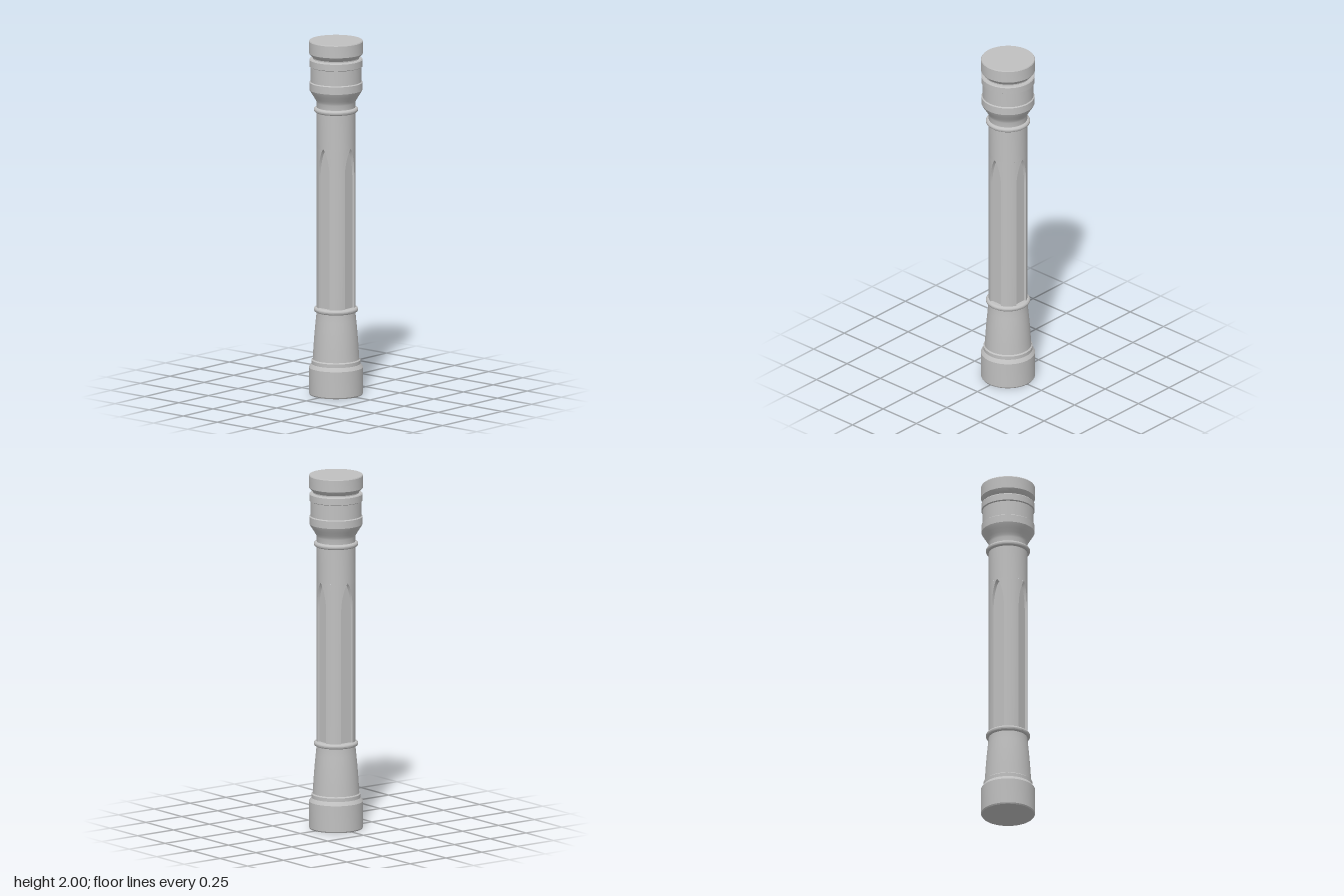
import * as THREE from 'three';
import { toCreasedNormals } from 'three/addons/utils/BufferGeometryUtils.js';

const SEGMENTS = 48;
const R = 0.107;          // shaft radius
const FLOOR_Z = 0.088;    // distance of the panel floor from the axis
const HALF_W = 0.04;      // panel half width
const Y_BOTTOM = 0.48, Y_SPRING = 1.24, Y_TIP = 1.4;
const ROWS = 17;

// Revolved part with sharp edges kept
function turned(name, points, material) {
  const profile = points.map(([r, y]) => new THREE.Vector2(r, y));
  const geometry = toCreasedNormals(new THREE.LatheGeometry(profile, SEGMENTS), 0.45);
  const mesh = new THREE.Mesh(geometry, material);
  mesh.name = name;
  return mesh;
}

// Grid surface: fn(u, v) returns [x, y, z]
function surface(name, nu, nv, fn, material) {
  const geometry = new THREE.PlaneGeometry(1, 1, nu, nv);
  const p = geometry.attributes.position;
  for (let i = 0; i < p.count; i++) {
    p.setXYZ(i, ...fn(p.getX(i) + 0.5, p.getY(i) + 0.5));
  }
  geometry.computeVertexNormals();
  const mesh = new THREE.Mesh(geometry, material);
  mesh.name = name;
  return mesh;
}

// Height and half width of the pointed-arch panel: one straight row, then the arch
function archRow(v) {
  const s = Math.max(0, (v * ROWS - 1) / (ROWS - 1));
  const y = v * ROWS < 0.5 ? Y_BOTTOM : Y_SPRING + s * (Y_TIP - Y_SPRING);
  return { y, w: HALF_W * Math.pow(Math.max(0, 1 - s * s), 0.75) };
}

function rimPoint(v, side) {
  const { y, w } = archRow(v);
  return [side * w, y, Math.sqrt(R * R - w * w)];
}

function floorPoint(v, side) {
  const { y, w } = archRow(v);
  return [side * w * 0.9, Y_BOTTOM + (y - Y_BOTTOM) * 0.99, FLOOR_Z];
}

const mix = (a, b, t) => a.map((n, i) => n + (b[i] - n) * t);

export function createModel() {
  const stone = new THREE.MeshStandardMaterial({ color: 0xc0c0c0 });
  stone.name = 'grey stone';
  const column = new THREE.Group();
  column.name = 'column';

  // Plinth, foot moulding and tapering pedestal
  column.add(turned('base', [
    [0, 0], [0.146, 0], [0.15, 0.007], [0.15, 0.153], [0.146, 0.16],
    [0.136, 0.174], [0.136, 0.194], [0.129, 0.2], [0.126, 0.25],
    [0.122, 0.31], [0.117, 0.37], [0.112, 0.42], [0.107, 0.47], [0.107, 0.48],
  ], stone));

  // Rounded collars at both ends of the shaft
  for (const [name, y] of [['lowerCollar', 0.48], ['upperCollar', 1.609]]) {
    const points = [[0.085, y - 0.014]];
    for (let i = 0; i <= 8; i++) {
      const a = -Math.PI / 2 + (i / 8) * Math.PI;
      points.push([0.109 + 0.014 * Math.cos(a), y + 0.014 * Math.sin(a)]);
    }
    points.push([0.085, y + 0.014]);
    column.add(turned(name, points, stone));
  }

  // Four recessed panels and the shaft faces between them
  for (let k = 0; k < 4; k++) {
    const side = new THREE.Group();
    side.name = 'shaftSide';
    side.rotation.y = k * Math.PI / 2;
    side.add(surface('shaftFace', 10, ROWS, (u, v) => {
      const { y, w } = archRow(v);
      const edge = Math.asin(w / R);
      const a = edge + u * (Math.PI / 2 - 2 * edge);
      return [R * Math.sin(a), y, R * Math.cos(a)];
    }, stone));
    side.add(surface('panelLeftWall', 1, ROWS,
      (u, v) => mix(rimPoint(v, -1), floorPoint(v, -1), u), stone));
    side.add(surface('panelRightWall', 1, ROWS,
      (u, v) => mix(floorPoint(v, 1), rimPoint(v, 1), u), stone));
    side.add(surface('panelFloor', 2, ROWS,
      (u, v) => mix(floorPoint(v, -1), floorPoint(v, 1), u), stone));
    column.add(side);
  }
  column.add(turned('upperShaft', [[R, Y_TIP], [R, 1.61]], stone));

  // Flared capital, bands, groove and top block
  column.add(turned('capital', [
    [0.107, 1.61], [0.107, 1.65], [0.111, 1.662], [0.119, 1.675],
    [0.131, 1.695], [0.141, 1.71], [0.147, 1.722], [0.147, 1.764],
    [0.141, 1.769], [0.141, 1.852], [0.148, 1.856], [0.148, 1.892],
    [0.144, 1.897], [0.127, 1.898], [0.127, 1.904], [0.134, 1.912],
    [0.147, 1.924], [0.15, 1.929], [0.15, 1.995], [0.147, 2], [0, 2],
  ], stone));

  return column;
}
